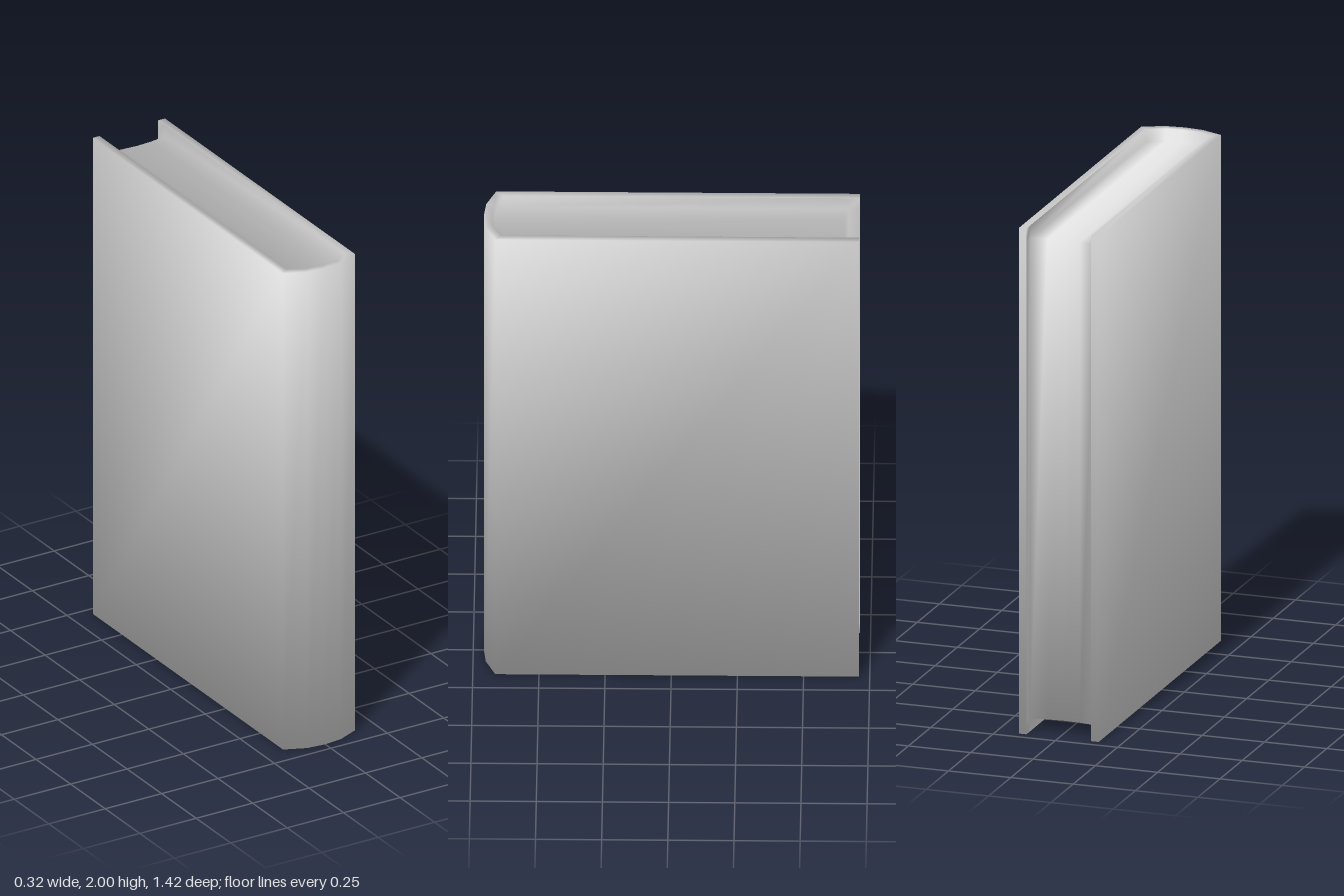
import * as THREE from 'three';

// Closed book standing upright, spine towards +z
export function createModel() {
  const grey = new THREE.MeshStandardMaterial({ color: 0xcccccc });
  grey.name = 'plain grey';

  // Plan outlines as [x, z], from the left-hand board round the spine to the other board
  const outer = [[-0.16, -0.71], [-0.16, 0.665], [-0.075, 0.702], [0, 0.71], [0.075, 0.702], [0.16, 0.665], [0.16, -0.71]];
  const inner = [[-0.13, -0.71], [-0.13, 0.639], [-0.065, 0.671], [0, 0.677], [0.065, 0.671], [0.13, 0.639], [0.13, -0.71]];
  const foreEdge = [[-0.13, -0.666], [-0.065, -0.655], [0, -0.651], [0.065, -0.655], [0.13, -0.666]];
  const H = 2, LOW = 0.05, HIGH = 1.95;

  const cover = [], pages = [], normals = new Map();
  const key = (v) => v.toArray().map((n) => Math.round(n * 1e4)).join();

  // Store a quad and add its normal to those shared at each corner
  function quad(list, ...corners) {
    const [a, b, , d] = corners;
    const n = b.clone().sub(a).cross(d.clone().sub(a)).normalize();
    for (const v of corners) {
      if (!normals.has(key(v))) normals.set(key(v), new THREE.Vector3());
      normals.get(key(v)).add(n);
    }
    list.push(corners);
  }
  const at = ([x, z], y) => new THREE.Vector3(x, y, z);
  const wall = (list, p, q, y0, y1) => quad(list, at(p, y0), at(q, y0), at(q, y1), at(p, y1));
  // Matching faces at the top and the bottom
  function caps(list, points, yTop, yBottom) {
    quad(list, ...points.map((p) => at(p, yTop)));
    quad(list, ...points.map((p) => at(p, yBottom)).reverse());
  }

  // Cover: outside, rims and the inside lip above and below the pages
  for (let i = 0; i < 6; i++) {
    wall(cover, outer[i], outer[i + 1], 0, H);
    caps(cover, [outer[i], outer[i + 1], inner[i + 1], inner[i]], H, 0);
    const p = i === 0 ? foreEdge[0] : inner[i];
    const q = i === 5 ? foreEdge[4] : inner[i + 1];
    wall(cover, q, p, 0, LOW);
    wall(cover, q, p, HIGH, H);
  }
  // Board edges and the board strips overhanging the fore edge
  wall(cover, inner[0], outer[0], 0, H);
  wall(cover, outer[6], inner[6], 0, H);
  for (const [y0, y1] of [[0, LOW], [LOW, HIGH], [HIGH, H]]) {
    wall(cover, foreEdge[0], inner[0], y0, y1);
    wall(cover, inner[6], foreEdge[4], y0, y1);
  }

  // Page block: top, bottom and hollow fore edge
  for (let i = 0; i < 4; i++) {
    caps(pages, [foreEdge[i], inner[i + 1], inner[i + 2], foreEdge[i + 1]], HIGH, LOW);
    wall(pages, foreEdge[i + 1], foreEdge[i], LOW, HIGH);
  }

  // Softly shaded meshes using the shared corner normals
  const book = new THREE.Group();
  book.name = 'book';
  for (const [name, quads] of [['cover', cover], ['pages', pages]]) {
    const pos = [], nor = [];
    for (const c of quads) {
      for (const k of [0, 1, 2, 0, 2, 3]) {
        pos.push(...c[k].toArray());
        nor.push(...normals.get(key(c[k])).clone().normalize().toArray());
      }
    }
    const geometry = new THREE.BufferGeometry();
    geometry.setAttribute('position', new THREE.Float32BufferAttribute(pos, 3));
    geometry.setAttribute('normal', new THREE.Float32BufferAttribute(nor, 3));
    const mesh = new THREE.Mesh(geometry, grey);
    mesh.name = name;
    book.add(mesh);
  }
  return book;
}
